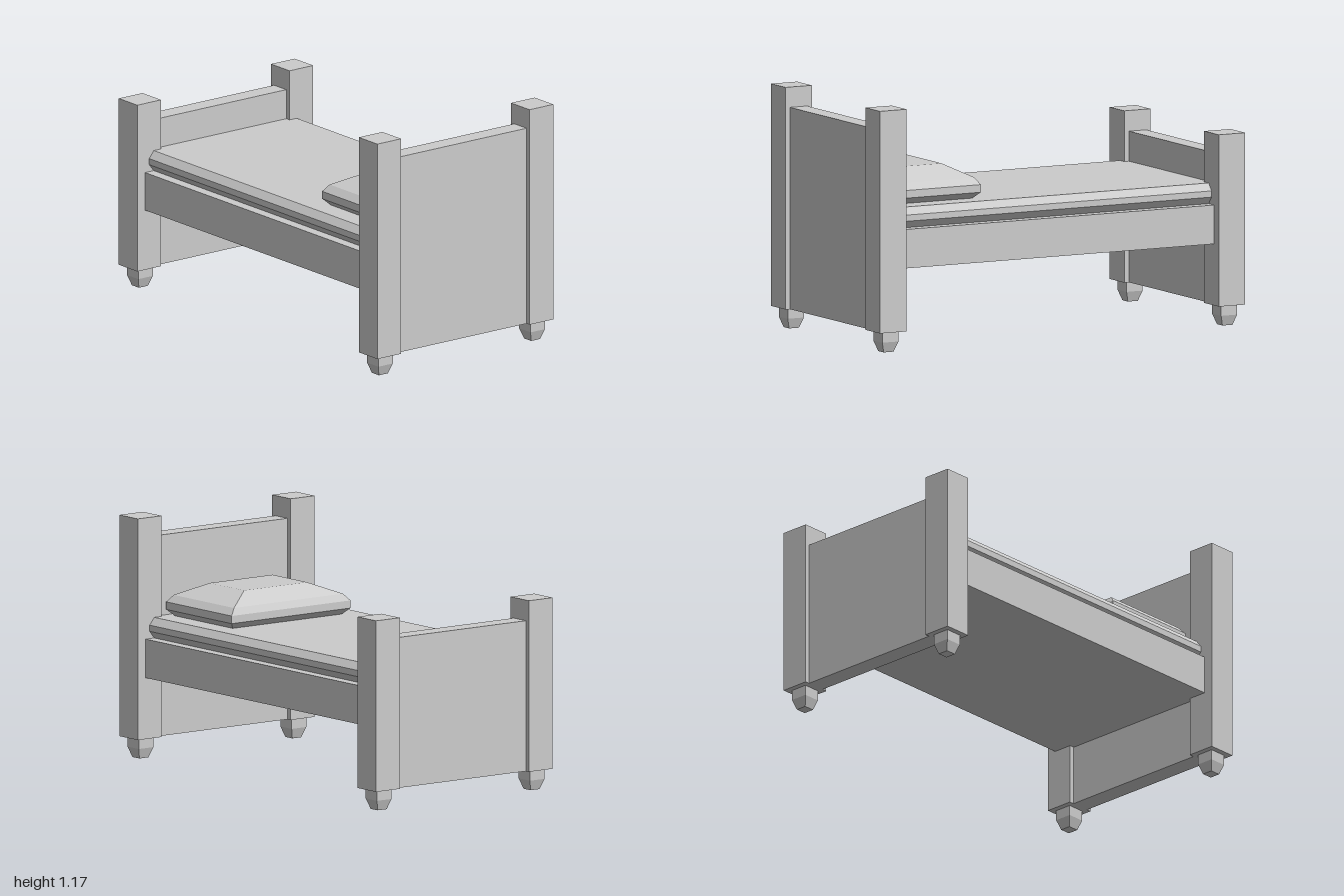
import * as THREE from 'three';

const material = new THREE.MeshStandardMaterial({ color: 0xcccccc, flatShading: true });

function add(parent, name, geometry, x = 0, y = 0, z = 0) {
  const mesh = new THREE.Mesh(geometry, material);
  mesh.name = name;
  mesh.position.set(x, y, z);
  parent.add(mesh);
  return mesh;
}

// Box given by its size and the height of its underside
function addBox(parent, name, w, h, d, x, bottom, z) {
  return add(parent, name, new THREE.BoxGeometry(w, h, d), x, bottom + h / 2, z);
}

// Solid from stacked rectangles [halfWidth, halfDepth, y], listed from bottom to top
function stackedRectangles(rings) {
  const positions = [];
  const index = [];
  for (const [hx, hz, y] of rings) {
    positions.push(-hx, y, hz, hx, y, hz, hx, y, -hz, -hx, y, -hz);
  }
  for (let r = 0; r < rings.length - 1; r++) {
    for (let i = 0; i < 4; i++) {
      const a = r * 4 + i, b = r * 4 + (i + 1) % 4;
      index.push(a, b, b + 4, a, b + 4, a + 4);
    }
  }
  const t = (rings.length - 1) * 4;
  index.push(0, 2, 1, 0, 3, 2, t, t + 1, t + 2, t, t + 2, t + 3);
  const geometry = new THREE.BufferGeometry();
  geometry.setAttribute('position', new THREE.Float32BufferAttribute(positions, 3));
  geometry.setIndex(index);
  const flat = geometry.toNonIndexed();
  flat.computeVertexNormals();
  return flat;
}

// Panel between two square posts, each on a tapered foot
function createEnd(name, side, postTop, panelTop) {
  const end = new THREE.Group();
  end.name = name;
  addBox(end, 'panel', 0.8, panelTop - 0.1, 0.095, 0, 0.1, side * 0.929);
  const foot = stackedRectangles([[0.027, 0.027, 0], [0.044, 0.044, 0.05], [0.044, 0.044, 0.1]]);
  for (const s of [-1, 1]) {
    addBox(end, 'post', 0.144, postTop - 0.1, 0.144, s * 0.463, 0.1, side * 0.928);
    add(end, 'foot', foot, s * 0.463, 0, side * 0.928);
  }
  return end;
}

export function createModel() {
  const bed = new THREE.Group();
  bed.name = 'bed';

  bed.add(createEnd('headboard', 1, 1.173, 1.075));
  bed.add(createEnd('footboard', -1, 0.93, 0.83));

  // Base between the two ends
  addBox(bed, 'bedBase', 0.976, 0.188, 1.77, 0, 0.397, 0);

  // Mattress with bevelled long edges
  const profile = new THREE.Shape([
    [-0.435, 0.585], [0.435, 0.585], [0.463, 0.62], [0.463, 0.65],
    [0.435, 0.685], [-0.435, 0.685], [-0.463, 0.65], [-0.463, 0.62],
  ].map(([x, y]) => new THREE.Vector2(x, y)));
  add(bed, 'mattress', new THREE.ExtrudeGeometry(profile, { depth: 1.77, bevelEnabled: false }), 0, 0, -0.885);

  // Faceted pillow at the head end
  add(bed, 'pillow', stackedRectangles([
    [0.33, 0.225, 0.685], [0.36, 0.255, 0.715], [0.36, 0.255, 0.752],
    [0.33, 0.235, 0.785], [0.19, 0.134, 0.842],
  ]), 0, 0, 0.605);

  return bed;
}
